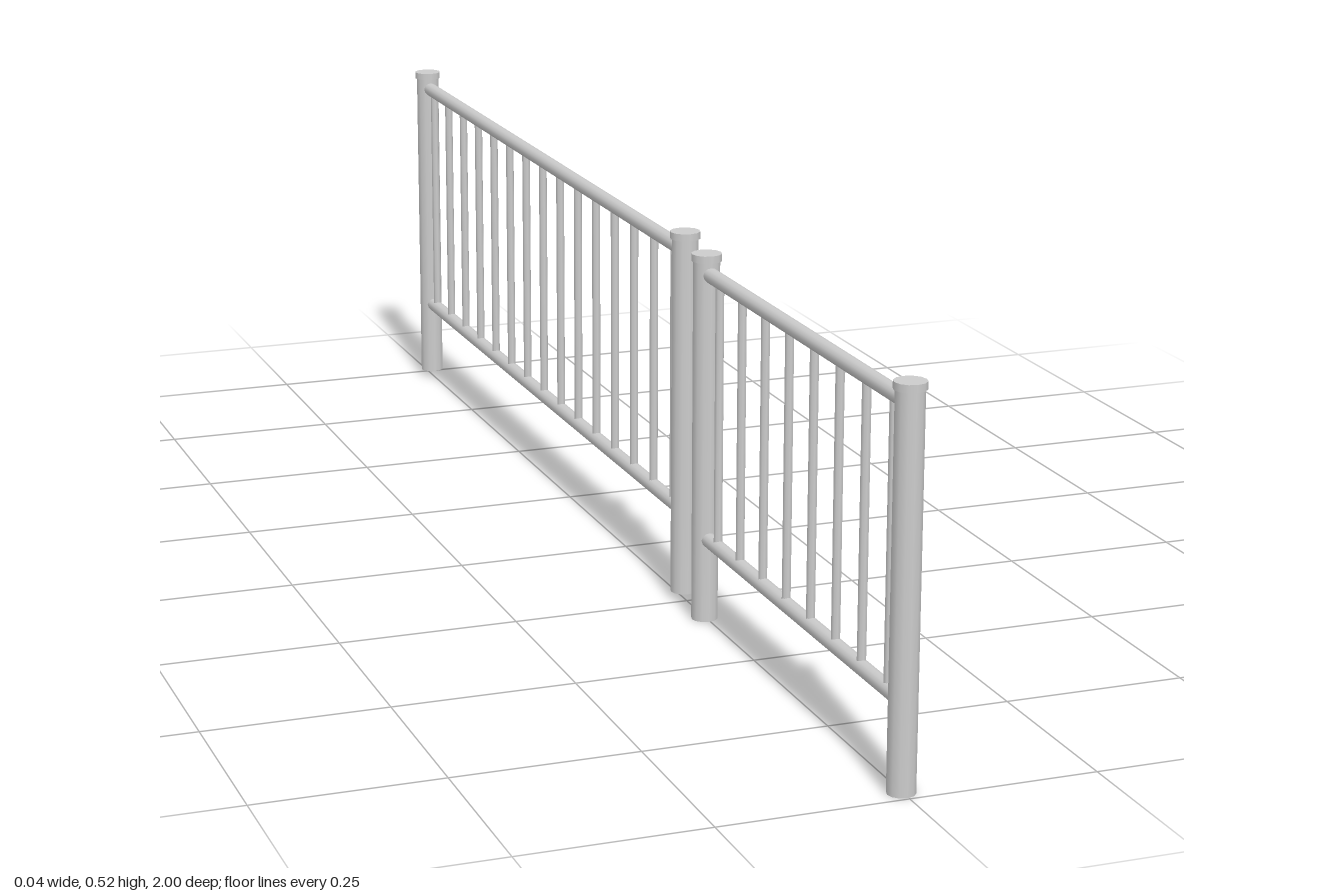
import * as THREE from 'three';

const material = new THREE.MeshStandardMaterial({ color: 0xcccccc });

// Upright cylinder from y0 to y1
function upright(name, radius, y0, y1, z, sides) {
  const mesh = new THREE.Mesh(new THREE.CylinderGeometry(radius, radius, y1 - y0, sides), material);
  mesh.position.set(0, (y0 + y1) / 2, z);
  mesh.name = name;
  return mesh;
}

// Horizontal tube running along z
function rail(name, y, zFront, zBack) {
  const geometry = new THREE.CylinderGeometry(0.0105, 0.0105, zFront - zBack, 12).rotateX(Math.PI / 2);
  const mesh = new THREE.Mesh(geometry, material);
  mesh.position.set(0, y, (zFront + zBack) / 2);
  mesh.name = name;
  return mesh;
}

// One fence panel: two capped posts, two rails and evenly spaced balusters
function panel(name, { x, y, zFront, zBack, firstBar, lastBar, bars }) {
  const group = new THREE.Group();
  group.name = name;
  group.position.set(x, y, 0);

  for (const [side, z] of [['front', zFront], ['back', zBack]]) {
    group.add(upright(side + 'Post', 0.0183, 0, 0.506, z, 12));
    group.add(upright(side + 'PostCap', 0.0208, 0.505, 0.515, z, 12));
  }

  group.add(rail('topRail', 0.488, zFront, zBack));
  group.add(rail('bottomRail', 0.117, zFront, zBack));

  for (let i = 0; i < bars; i++) {
    const z = THREE.MathUtils.lerp(firstBar, lastBar, i / (bars - 1));
    group.add(upright('baluster', 0.0062, 0.117, 0.488, z, 8));
  }
  return group;
}

export function createModel() {
  const model = new THREE.Group();
  model.name = 'railing';
  model.add(panel('shortPanel', {
    x: -0.002, y: 0, zFront: 0.979, zBack: 0.323, firstBar: 0.935, lastBar: 0.372, bars: 8,
  }));
  model.add(panel('longPanel', {
    x: 0.001, y: 0.01, zFront: 0.234, zBack: -0.979, firstBar: 0.194, lastBar: -0.941, bars: 15,
  }));
  return model;
}
